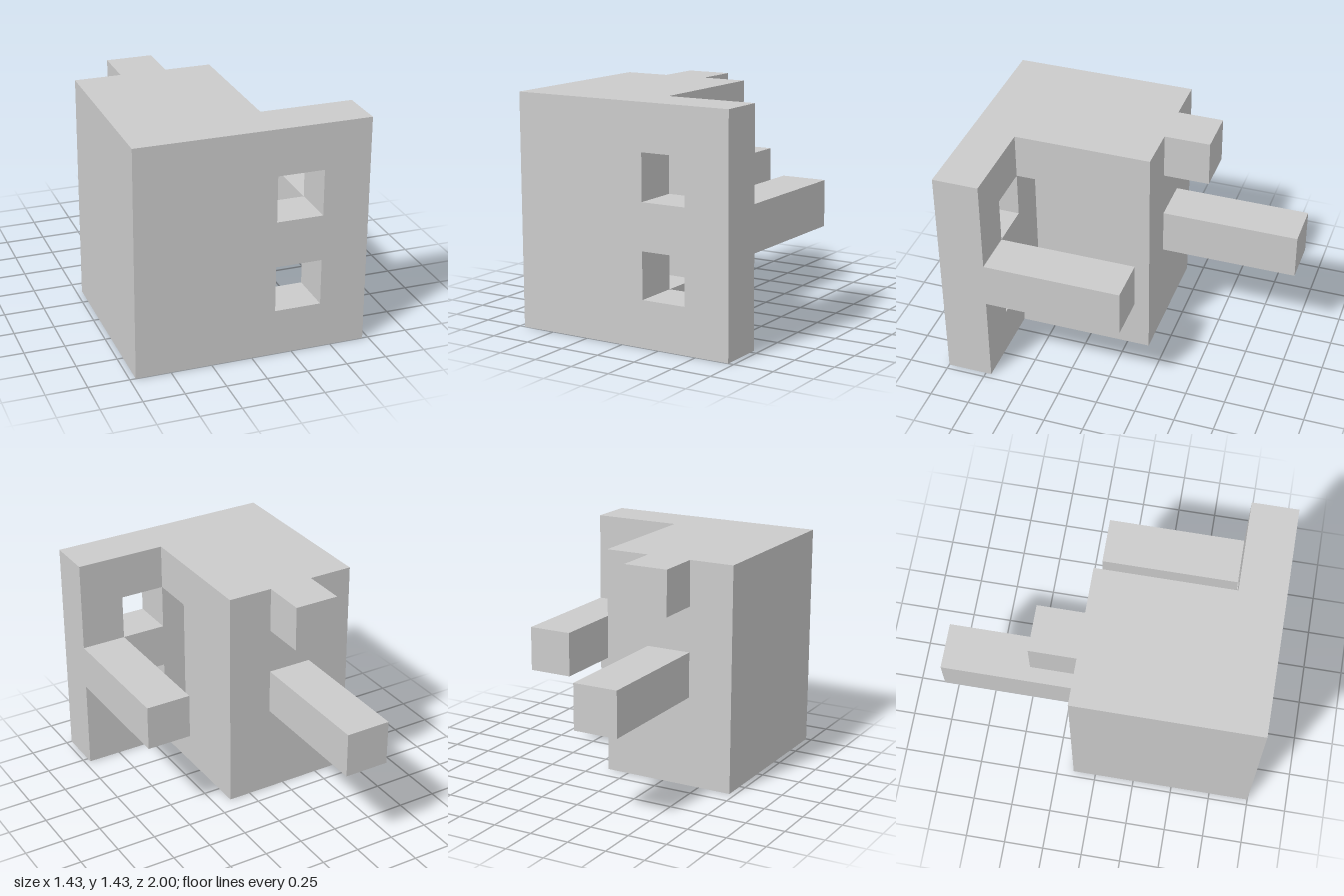
import * as THREE from 'three';

const U = 2 / 7; // one cube of the puzzle piece

export function createModel() {
  const group = new THREE.Group();
  const material = new THREE.MeshStandardMaterial({ color: 0xcccccc, flatShading: true });

  const add = (name, geometry) => {
    geometry.scale(U, U, U);
    const mesh = new THREE.Mesh(geometry, material);
    mesh.name = name;
    group.add(mesh);
  };

  // Box from its lower and upper corners, in cube units
  const block = (name, [x0, y0, z0], [x1, y1, z1]) =>
    add(name, new THREE.BoxGeometry(x1 - x0, y1 - y0, z1 - z0)
      .translate((x0 + x1) / 2, (y0 + y1) / 2, (z0 + z1) / 2));

  const outline = (points) => new THREE.Shape(points.map(([x, y]) => new THREE.Vector2(x, y)));

  // Front plate with two square windows
  const plate = outline([[-2.5, 0], [2.5, 0], [2.5, 5], [-2.5, 5]]);
  for (const y of [1, 3]) {
    plate.holes.push(outline([[0.5, y], [0.5, y + 1], [1.5, y + 1], [1.5, y]]));
  }
  add('frontPlate', new THREE.ExtrudeGeometry(plate, { depth: 1, bevelEnabled: false }).translate(0, 0, 2.5));

  // Main body: solid base and top, with a notched middle behind the windows
  block('bodyBase', [-2.5, 0, -0.5], [0.5, 1, 2.5]);
  block('bodyTop', [-2.5, 4, -0.5], [0.5, 5, 2.5]);
  const footprint = outline(
    [[-2.5, -0.5], [0.5, -0.5], [0.5, 1.5], [-0.5, 1.5], [-0.5, 2.5], [-2.5, 2.5]].map(([x, z]) => [x, -z])
  );
  add('bodyNotchedMiddle', new THREE.ExtrudeGeometry(footprint, { depth: 3, bevelEnabled: false })
    .rotateX(-Math.PI / 2).translate(0, 1, 0));

  // Bars reaching backwards
  block('sideBar', [1.5, 2, -0.5], [2.5, 3, 2.5]);
  block('backBar', [-1.5, 2, -3.5], [-0.5, 3, -0.5]);
  block('backStub', [-1.5, 4, -1.5], [-0.5, 5, -0.5]);

  return group;
}
